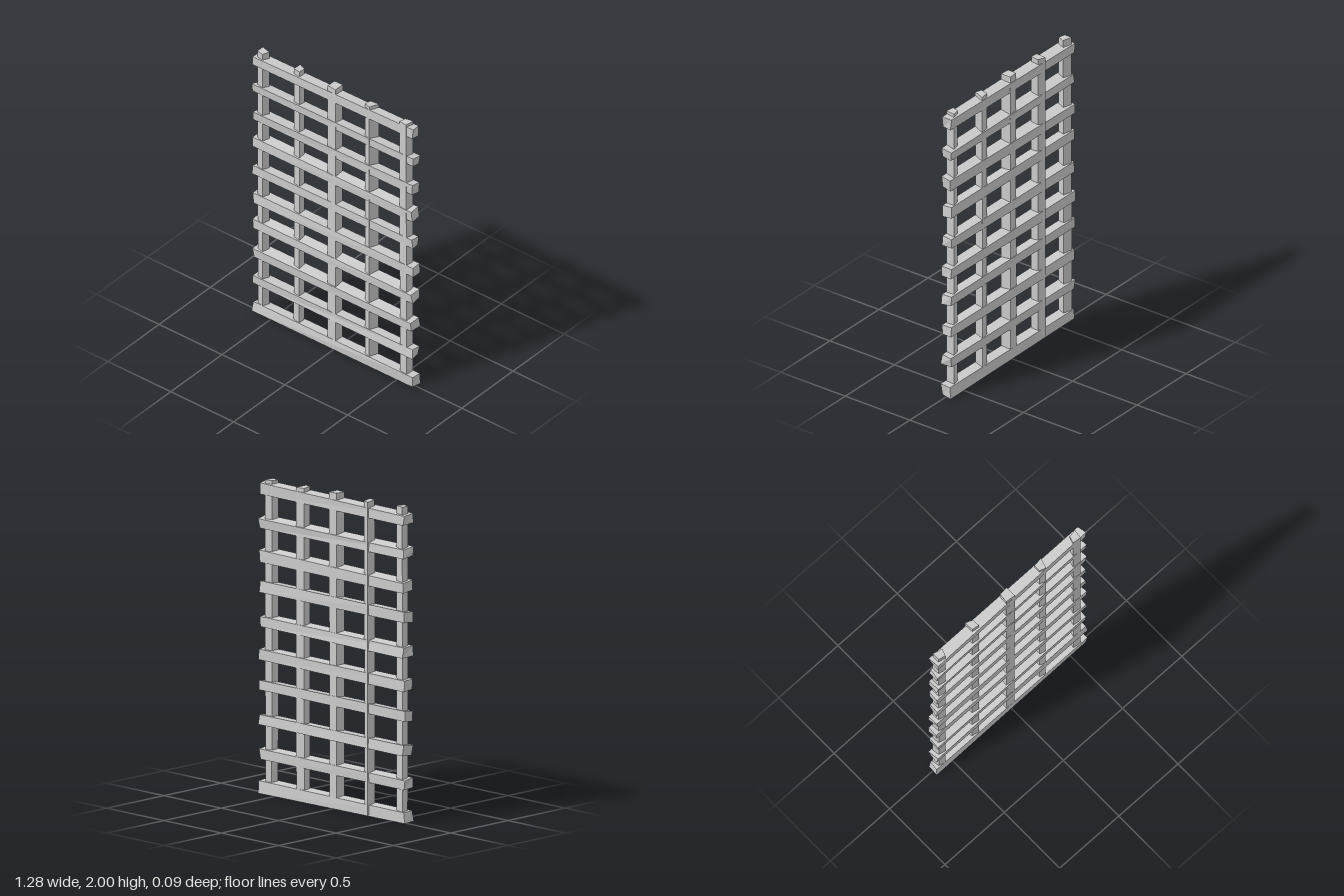
import * as THREE from 'three';

const material = new THREE.MeshStandardMaterial({ color: 0xcccccc, flatShading: true });

// Small seeded wobble in the range -amount..amount
let seed = 11;
function wobble(amount) {
  seed = (seed * 16807) % 2147483647;
  return (seed / 2147483647 * 2 - 1) * amount;
}

// A box whose eight corners are moved by a rule; sx, sy, sz are 0 or 1
function hewnBox(name, corner) {
  const corners = [];
  for (let i = 0; i < 8; i++) corners.push(corner(i & 1, (i >> 1) & 1, (i >> 2) & 1));
  const geometry = new THREE.BoxGeometry(1, 1, 1);
  const pos = geometry.attributes.position;
  for (let i = 0; i < pos.count; i++) {
    const k = (pos.getX(i) > 0 ? 1 : 0) + (pos.getY(i) > 0 ? 2 : 0) + (pos.getZ(i) > 0 ? 4 : 0);
    pos.setXYZ(i, ...corners[k]);
  }
  geometry.computeVertexNormals();
  const mesh = new THREE.Mesh(geometry, material);
  mesh.name = name;
  return mesh;
}

export function createModel() {
  seed = 11;
  const model = new THREE.Group();
  model.name = 'lattice';

  // Upright bars: section corners [x, z] as back left, back right, front left, front right
  const bars = [
    [[-0.607, -0.03], [-0.542, -0.015], [-0.607, 0.022], [-0.559, 0.033]],
    [[-0.322, -0.046], [-0.271, -0.026], [-0.319, 0.019], [-0.271, 0.026]],
    [[-0.038, -0.033], [0.024, -0.036], [-0.043, 0.03], [0.024, 0.036]],
    [[0.25, -0.029], [0.312, -0.036], [0.247, 0.019], [0.291, 0.033]],
    [[0.538, -0.019], [0.59, -0.029], [0.525, 0.026], [0.583, 0.033]],
  ];
  const barTops = [2, 1.995, 2, 1.99, 1.987];
  const uprights = new THREE.Group();
  uprights.name = 'uprights';
  bars.forEach((section, i) => {
    uprights.add(hewnBox(`upright${i + 1}`, (sx, sy, sz) => {
      const [x, z] = section[sx + 2 * sz];
      return sy ? [x, barTops[i] - 0.006 * (1 - sz) * (i % 2), z]
                : [x + wobble(0.004), 0.012, z + wobble(0.003)];
    }));
  });
  model.add(uprights);

  // Cross rails: left bottom, left top, right bottom, right top, tilt of the back edge
  const rails = [
    [0.012, 0.08, 0.006, 0.085, -0.006],
    [0.225, 0.286, 0.225, 0.29, -0.008],
    [0.426, 0.493, 0.43, 0.493, 0.006],
    [0.642, 0.708, 0.647, 0.708, 0.008],
    [0.842, 0.912, 0.849, 0.916, -0.004],
    [1.057, 1.122, 1.063, 1.126, -0.008],
    [1.268, 1.336, 1.265, 1.338, 0.006],
    [1.472, 1.535, 1.472, 1.548, -0.012],
    [1.69, 1.747, 1.69, 1.75, -0.014],
    [1.896, 1.956, 1.898, 1.97, -0.008],
  ];
  const crossRails = new THREE.Group();
  crossRails.name = 'crossRails';
  rails.forEach((r, i) => {
    crossRails.add(hewnBox(`rail${i + 1}`, (sx, sy, sz) => [
      (sx ? 1 : -1) * (0.63 + wobble(0.009)),
      Math.max(0, r[2 * sx + sy] + (sz ? 0 : r[4])),
      (sz ? (sx ? 0.032 : 0.037) : -0.038) + wobble(0.006),
    ]));
  });
  model.add(crossRails);

  return model;
}
